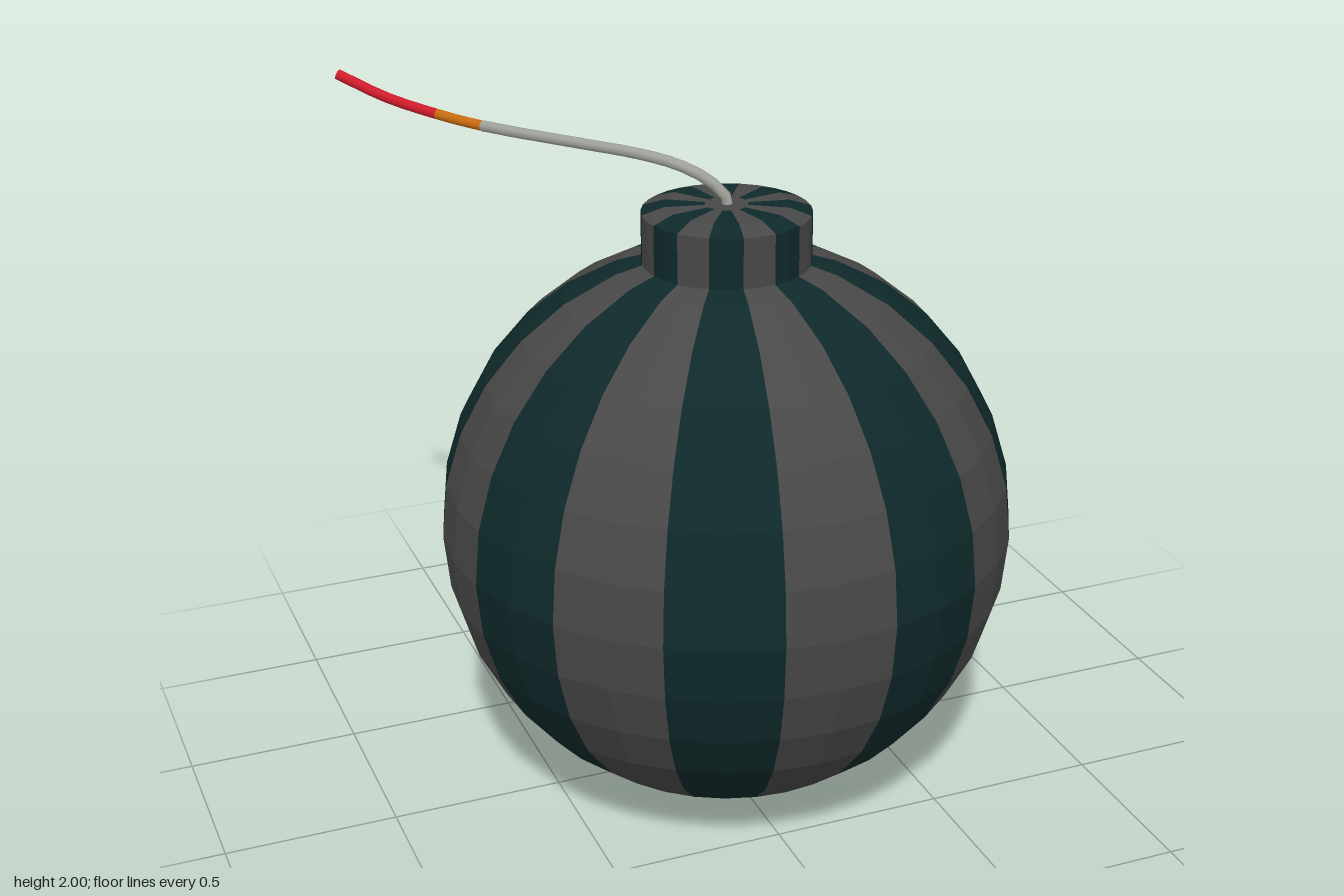
import * as THREE from 'three';
import { mergeGeometries } from 'three/addons/utils/BufferGeometryUtils.js';

const STRIPES = 16;
const RADIUS = 0.82;
const CAP = 0.06; // plain disc where the stripes meet

const material = (name, color) => {
  const m = new THREE.MeshStandardMaterial({ color });
  m.name = name;
  return m;
};

// Faceted copy of a geometry
function faceted(geometry) {
  const g = geometry.toNonIndexed();
  g.computeVertexNormals();
  return g;
}

const lathe = (profile, segments, start, length) =>
  faceted(new THREE.LatheGeometry(profile.map(([r, y]) => new THREE.Vector2(r, y)), segments, start, length));

// Every second sector of a turned profile, two facets per sector
function sectors(profile, first) {
  const step = (Math.PI * 2) / STRIPES;
  const parts = [];
  for (let i = first; i < STRIPES; i += 2) parts.push(lathe(profile, 2, (i - 0.5) * step, step));
  return mergeGeometries(parts);
}

export function createModel() {
  const model = new THREE.Group();
  model.name = 'roundBomb';

  const grey = material('charcoal grey', 0x484848);
  const teal = material('dark teal', 0x0f292a);
  const cord = material('cord grey', 0xa0a29a);
  const orange = material('ember orange', 0xc86c10);
  const red = material('burning red', 0xd01c2c);

  const add = (parent, name, geometry, mat) => {
    const mesh = new THREE.Mesh(geometry, mat);
    mesh.name = name;
    parent.add(mesh);
  };

  const shell = new THREE.Group();
  shell.name = 'shell';
  shell.position.set(0.02, 0, 0.045);
  model.add(shell);

  // Ball: 16 rings, 32 facets round
  const ball = [];
  for (let i = 1; i < 16; i++) {
    const a = (i / 16) * Math.PI;
    ball.push([RADIUS * Math.sin(a), RADIUS * (1 - Math.cos(a))]);
  }
  const capY = ball[0][1] * CAP / ball[0][0];
  ball.unshift([CAP, capY]);
  add(shell, 'ballGreyStripes', sectors(ball, 0), grey);
  add(shell, 'ballTealStripes', sectors(ball, 1), teal);
  add(shell, 'ballBottomCap', lathe([[0, 0], [CAP, capY]], 32), grey);

  // Neck with a slightly bevelled rim
  const neck = [[0.237, 1.58], [0.237, 1.745], [0.175, 1.765], [CAP, 1.765]];
  add(shell, 'neckGreyStripes', sectors(neck, 0), grey);
  add(shell, 'neckTealStripes', sectors(neck, 1), teal);
  add(shell, 'neckTopCap', lathe([[CAP, 1.765], [0, 1.765]], 32), grey);

  // Fuse: cord, glowing part and burning end along one bent path
  const fuse = new THREE.Group();
  fuse.name = 'fuse';
  model.add(fuse);
  const path = new THREE.CatmullRomCurve3([
    [0.025, 1.74, 0.047], [0.018, 1.785, 0.043], [-0.025, 1.83, 0.025], [-0.085, 1.865, -0.015],
    [-0.17, 1.884, -0.1], [-0.3, 1.885, -0.265], [-0.5, 1.886, -0.52], [-0.6, 1.9, -0.635],
    [-0.72, 1.932, -0.755], [-0.83, 1.984, -0.855],
  ].map((p) => new THREE.Vector3(...p)));

  // Tube along the stretch of path between two parameters
  const stretch = (name, from, to, count, mat) => {
    const points = [];
    for (let i = 0; i <= count; i++) points.push(path.getPoint(from + ((to - from) * i) / count));
    const curve = new THREE.CatmullRomCurve3(points);
    add(fuse, name, new THREE.TubeGeometry(curve, count, 0.016, 8), mat);
  };
  stretch('fuseCord', 0, 6 / 9, 18, cord);
  stretch('fuseEmber', 6 / 9, 7 / 9, 3, orange);
  stretch('fuseBurningEnd', 7 / 9, 1, 6, red);

  // Disc closing the burning end
  const disc = new THREE.CircleGeometry(0.016, 8);
  disc.applyQuaternion(new THREE.Quaternion().setFromUnitVectors(new THREE.Vector3(0, 0, 1), path.getTangent(1)));
  const tip = path.getPoint(1);
  disc.translate(tip.x, tip.y, tip.z);
  add(fuse, 'fuseTip', disc, red);

  return model;
}
